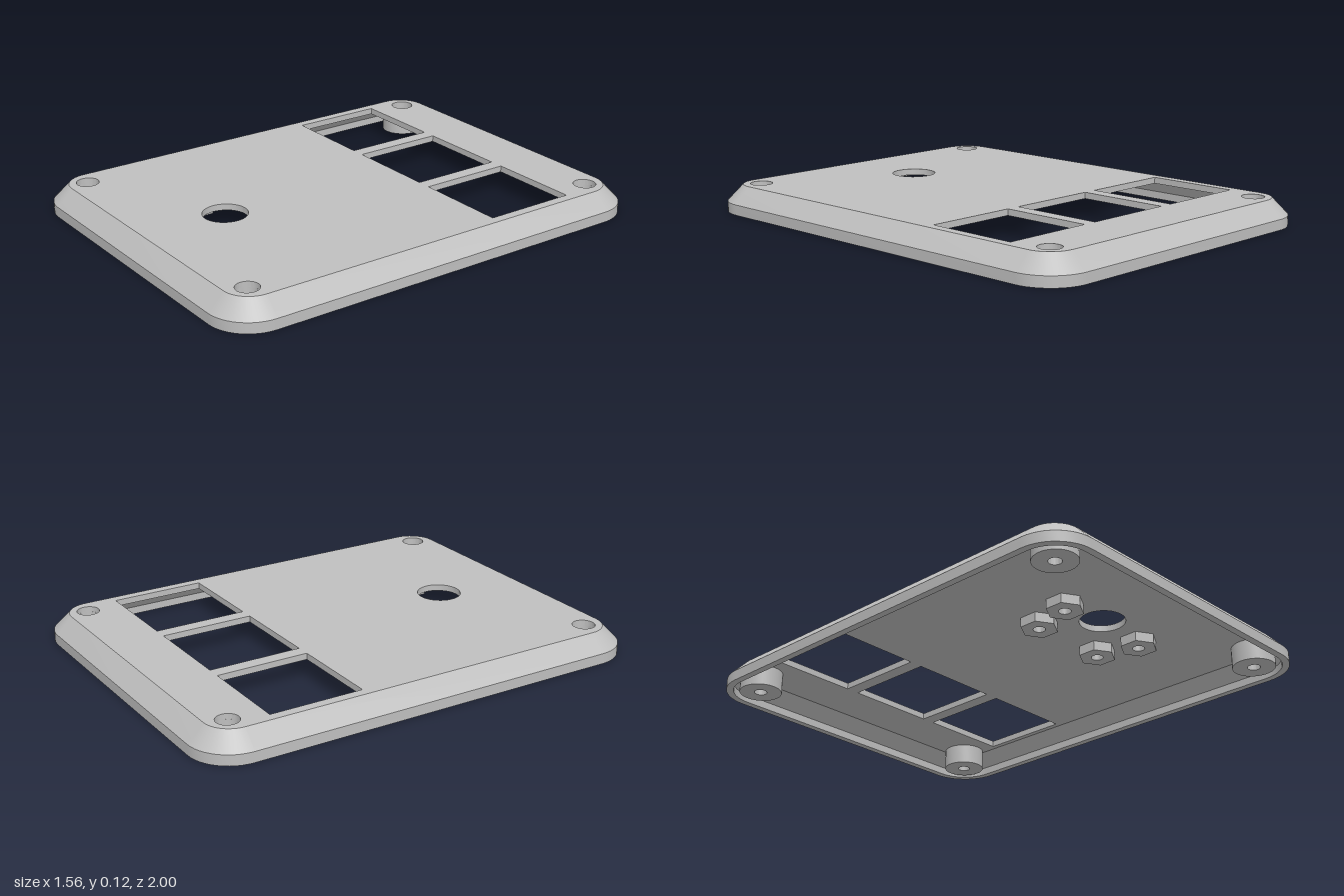
import * as THREE from 'three';
import { toCreasedNormals } from 'three/addons/utils/BufferGeometryUtils.js';

const HALF_X = 0.778, HALF_Z = 1, CORNER = 0.18;
const TOP = 0.115, UNDER = 0.088, PLATE_INSET = 0.085;

// Rounded rectangle outline, shrunk by an inset; counter-clockwise seen from above
function outline(inset, steps = 12) {
  const pts = [];
  const signs = [[1, 1], [-1, 1], [-1, -1], [1, -1]];
  signs.forEach(([sx, sy], q) => {
    for (let i = 0; i <= steps; i++) {
      const a = (q + i / steps) * Math.PI / 2;
      pts.push(new THREE.Vector2(
        sx * (HALF_X - CORNER) + (CORNER - inset) * Math.cos(a),
        sy * (HALF_Z - CORNER) + (CORNER - inset) * Math.sin(a)));
    }
  });
  return pts;
}

// Sweep an (inset, height) profile around the outline
function rimGeometry(profile) {
  const pos = [], idx = [];
  const n = outline(0).length;
  for (const [inset, y] of profile) {
    for (const p of outline(inset)) pos.push(p.x, y, -p.y);
  }
  for (let j = 0; j < profile.length - 1; j++) {
    for (let i = 0; i < n; i++) {
      const k = (i + 1) % n;
      const a = j * n + i, b = j * n + k, c = a + n, d = b + n;
      idx.push(a, b, c, b, d, c);
    }
  }
  const g = new THREE.BufferGeometry();
  g.setAttribute('position', new THREE.Float32BufferAttribute(pos, 3));
  g.setIndex(idx);
  return toCreasedNormals(g, 0.5);
}

// Flat shape raised between two heights (shape y points to -z)
function slab(shape, y0, y1) {
  const g = new THREE.ExtrudeGeometry(shape, { depth: y1 - y0, bevelEnabled: false, curveSegments: 32 });
  g.rotateX(-Math.PI / 2);
  g.translate(0, y0, 0);
  return toCreasedNormals(g, 0.5);
}

function circle(x, z, r) {
  const p = new THREE.Path();
  p.absarc(x, -z, r, 0, Math.PI * 2, true);
  return p;
}

export function createModel() {
  const model = new THREE.Group();
  model.name = 'enclosureLid';
  const grey = new THREE.MeshStandardMaterial({ color: 0xbfbfbf });
  grey.name = 'grey plastic';

  const add = (name, geometry, x = 0, z = 0) => {
    const mesh = new THREE.Mesh(geometry, grey);
    mesh.name = name;
    mesh.position.set(x, 0, z);
    model.add(mesh);
  };

  // Hollow bevelled rim
  add('bevelledRim', rimGeometry([
    [PLATE_INSET, UNDER], [0.03, 0.033], [0.03, 0], [0, 0],
    [0, 0.045], [0.068, TOP], [PLATE_INSET, TOP],
  ]));

  // Face plate with windows, round hole and screw holes
  const screws = [];
  for (const x of [-0.622, 0.622]) for (const z of [-0.845, 0.845]) screws.push([x, z]);
  const face = new THREE.Shape(outline(PLATE_INSET));
  for (const x of [-0.466, 0, 0.466]) {
    const h = 0.203, top = 0.695, bottom = 0.29;
    face.holes.push(new THREE.Path([
      new THREE.Vector2(x - h, bottom), new THREE.Vector2(x - h, top),
      new THREE.Vector2(x + h, top), new THREE.Vector2(x + h, bottom),
    ]));
  }
  face.holes.push(circle(0, 0.55, 0.094));
  for (const [x, z] of screws) face.holes.push(circle(x, z, 0.048));
  add('facePlate', slab(face, UNDER, TOP));

  // Counterbored screw posts in the corners
  const post = toCreasedNormals(new THREE.LatheGeometry([
    [0.027, 0], [0.09, 0], [0.09, 0.092], [0.048, 0.092],
    [0.048, 0.05], [0.027, 0.05], [0.027, 0],
  ].map(([r, y]) => new THREE.Vector2(r, y)), 32), 0.5);
  for (const [x, z] of screws) add('screwPost', post, x, z);

  // Hexagonal standoffs around the round hole, underneath
  const hex = new THREE.Shape();
  for (let i = 0; i < 6; i++) {
    const a = Math.PI / 6 + i * Math.PI / 3;
    hex[i ? 'lineTo' : 'moveTo'](0.078 * Math.cos(a), 0.078 * Math.sin(a));
  }
  hex.closePath();
  hex.holes.push(circle(0, 0, 0.025));
  const standoff = slab(hex, 0.047, 0.09);
  for (const side of [-1, 1]) {
    add('hexStandoff', standoff, side * 0.23, 0.55);
    add('hexStandoff', standoff, side * 0.18, 0.37);
  }
  return model;
}
